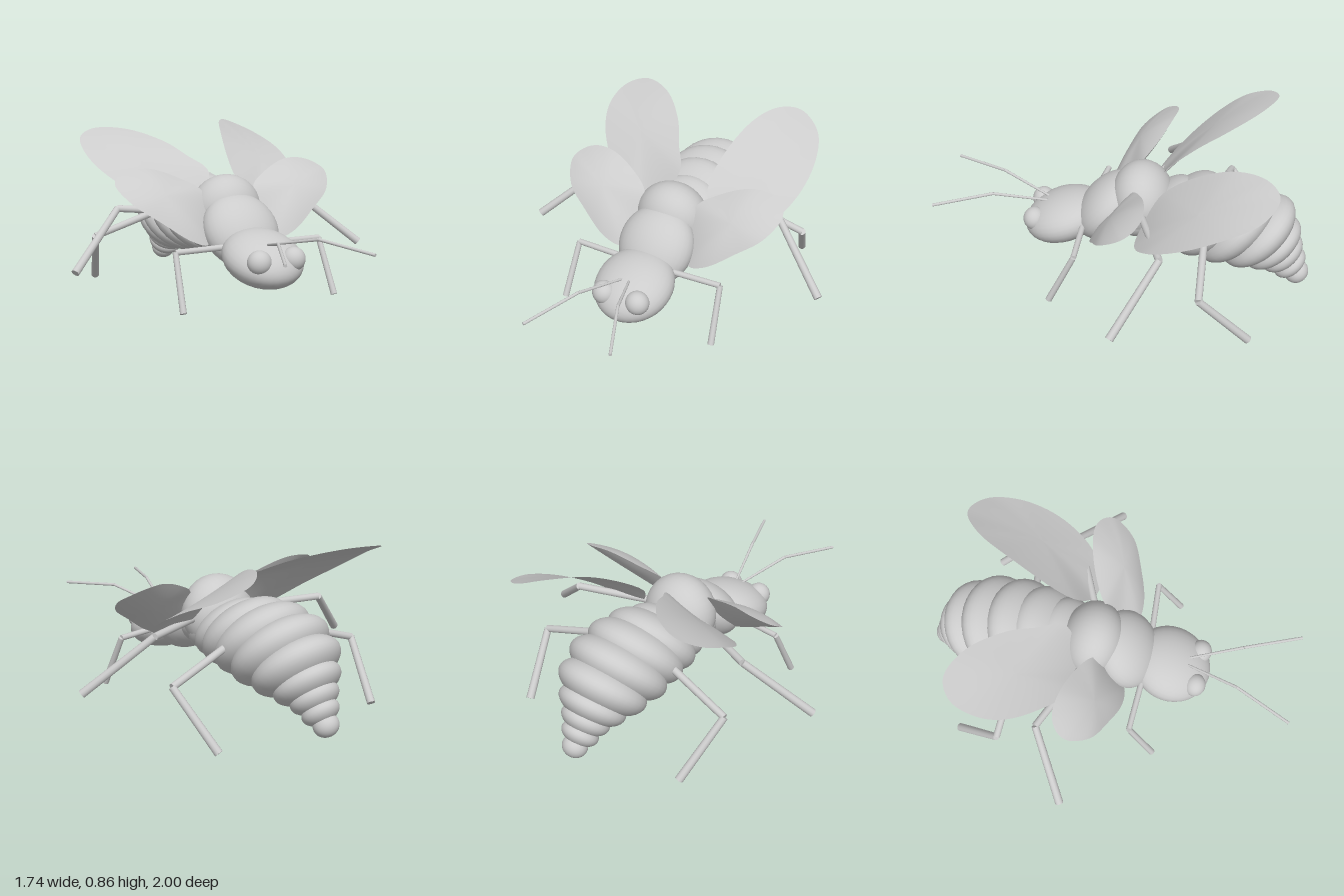
import * as THREE from 'three';

const material = new THREE.MeshStandardMaterial({ color: 0xcccccc });
const wingMaterial = new THREE.MeshStandardMaterial({ color: 0xcccccc, side: THREE.DoubleSide });
const UP = new THREE.Vector3(0, 1, 0);
const vec = (p, side = 1) => new THREE.Vector3(p[0] * side, p[1], p[2]);

// Ellipsoid whose own z axis is pitched down towards the front by tilt degrees
function ellipsoid(name, pos, radii, tilt = 0) {
  const mesh = new THREE.Mesh(new THREE.SphereGeometry(1, 32, 20).rotateX(Math.PI / 2), material);
  mesh.name = name;
  mesh.position.set(...pos);
  mesh.scale.set(...radii);
  mesh.rotation.x = THREE.MathUtils.degToRad(tilt);
  return mesh;
}

// Straight rod between two points
function rod(name, a, b, ra, rb) {
  const dir = b.clone().sub(a);
  const mesh = new THREE.Mesh(new THREE.CylinderGeometry(rb, ra, dir.length(), 12), material);
  mesh.name = name;
  mesh.position.copy(a).addScaledVector(dir, 0.5);
  mesh.quaternion.setFromUnitVectors(UP, dir.normalize());
  return mesh;
}

// Two rods joined at a bend
function limb(name, points, side, radii) {
  const group = new THREE.Group();
  group.name = name;
  const [a, b, c] = points.map((p) => vec(p, side));
  group.add(rod('upperPart', a, b, radii[0], radii[1]), rod('lowerPart', b, c, radii[1], radii[2]));
  return group;
}

// Thin domed membrane spanning a closed smooth outline
function wing(name, points, side, bulge) {
  const n = 64, rings = 8;
  const edge = new THREE.CatmullRomCurve3(points.map((p) => vec(p, side)), true).getPoints(n).slice(0, n);
  const centre = new THREE.Vector3();
  edge.forEach((p) => centre.addScaledVector(p, 1 / n));
  const offsets = edge.map((p) => p.clone().sub(centre));
  const normal = new THREE.Vector3();
  offsets.forEach((o, i) => normal.add(o.clone().cross(offsets[(i + 1) % n])));
  normal.normalize();
  if (normal.y < 0) normal.negate();

  const positions = [], index = [];
  for (let r = 0; r <= rings; r++) {
    const t = r / rings;
    for (let i = 0; i < n; i++) {
      // In-plane part grows linearly, height above the plane quadratically
      const height = offsets[i].dot(normal);
      const p = centre.clone().addScaledVector(offsets[i], t)
        .addScaledVector(normal, height * (t * t - t) + bulge * (1 - t * t));
      positions.push(p.x, p.y, p.z);
      if (r === rings) continue;
      const a = r * n + i, b = r * n + (i + 1) % n;
      if (r > 0) index.push(a, a + n, b);
      index.push(b, a + n, b + n);
    }
  }
  const geometry = new THREE.BufferGeometry();
  geometry.setAttribute('position', new THREE.Float32BufferAttribute(positions, 3));
  geometry.setIndex(index);
  geometry.computeVertexNormals();
  const mesh = new THREE.Mesh(geometry, wingMaterial);
  mesh.name = name;
  return mesh;
}

export function createModel() {
  const model = new THREE.Group();
  model.name = 'insect';

  // Head and thorax
  model.add(
    ellipsoid('head', [0, 0.285, 0.335], [0.21, 0.125, 0.225], 20),
    ellipsoid('frontThorax', [0, 0.385, 0.09], [0.21, 0.135, 0.215], 50),
    ellipsoid('rearThorax', [0, 0.46, -0.095], [0.2, 0.2, 0.165], 10));

  // Abdomen segments: [y, z, radius, half thickness, tilt]
  const abdomen = new THREE.Group();
  abdomen.name = 'abdomen';
  [
    [0.42, -0.03, 0.17, 0.09, -30],
    [0.4, -0.12, 0.18, 0.1, -38],
    [0.405, -0.22, 0.21, 0.11, -40],
    [0.413, -0.335, 0.245, 0.13, -41],
    [0.408, -0.46, 0.262, 0.135, -42],
    [0.382, -0.595, 0.265, 0.13, -43],
    [0.335, -0.715, 0.236, 0.118, -46],
    [0.27, -0.795, 0.178, 0.09, -48],
    [0.21, -0.85, 0.128, 0.072, -48],
    [0.15, -0.895, 0.098, 0.06, -47],
    [0.095, -0.936, 0.066, 0.06, -47],
  ].forEach(([y, z, r, h, tilt], i) => {
    abdomen.add(ellipsoid(`abdomenSegment${i + 1}`, [0, y, z], [r * 1.02, r, h], tilt));
  });
  model.add(abdomen);

  // Wing outlines for the model's left side; the two hind wings differ in pose
  const frontWing = [
    [0.15, 0.58, -0.06], [0.25, 0.648, -0.125], [0.41, 0.705, -0.18], [0.53, 0.7, -0.19],
    [0.6, 0.67, -0.155], [0.625, 0.635, -0.1], [0.57, 0.55, 0.01], [0.45, 0.463, 0.075],
    [0.3, 0.36, 0.125], [0.2, 0.33, 0.115], [0.15, 0.42, 0.03],
  ];
  const leftHindWing = [
    [0.14, 0.6, -0.23], [0.2, 0.82, -0.55], [0.3, 0.87, -0.76], [0.41, 0.845, -0.84],
    [0.535, 0.78, -0.775], [0.6, 0.7, -0.6], [0.59, 0.59, -0.39], [0.5, 0.48, -0.21],
    [0.375, 0.415, -0.125], [0.24, 0.44, -0.135],
  ];
  const rightHindWing = [
    [0.03, 0.65, -0.23], [0.105, 0.735, -0.365], [0.18, 0.8, -0.5], [0.34, 0.86, -0.67],
    [0.5, 0.866, -0.735], [0.6, 0.835, -0.68], [0.635, 0.775, -0.55], [0.6, 0.69, -0.42],
    [0.47, 0.57, -0.26], [0.31, 0.46, -0.14], [0.18, 0.45, -0.13],
  ];
  model.add(wing('leftHindWing', leftHindWing, 1, 0.03), wing('rightHindWing', rightHindWing, -1, 0.03));

  // Mirrored parts
  const legs = {
    FrontLeg: [[0.15, 0.33, 0.2], [0.42, 0.325, 0.185], [0.44, 0.04, 0.32]],
    MiddleLeg: [[0.13, 0.46, -0.1], [0.545, 0.485, -0.285], [0.855, 0.205, -0.1]],
    HindLeg: [[0.2, 0.43, -0.46], [0.595, 0.3, -0.495], [0.51, 0.02, -0.745]],
  };
  const antenna = [[0.015, 0.37, 0.41], [0.113, 0.44, 0.7], [0.242, 0.41, 1.0]];
  for (const [label, side] of [['left', 1], ['right', -1]]) {
    model.add(ellipsoid(`${label}Eye`, [0.097 * side, 0.3, 0.48], [0.063, 0.063, 0.06]));
    model.add(limb(`${label}Antenna`, antenna, side, [0.006, 0.008, 0.008]));
    // Front wings are lens-shaped, with an upper and a lower skin
    model.add(wing(`${label}FrontWingTop`, frontWing, side, 0.05));
    model.add(wing(`${label}FrontWingUnderside`, frontWing, side, -0.025));
    for (const [legName, points] of Object.entries(legs)) {
      const s = legName === 'FrontLeg' ? 0.8 : 1;
      model.add(limb(label + legName, points, side, [0.02 * s, 0.019 * s, 0.022 * s]));
    }
  }
  return model;
}
